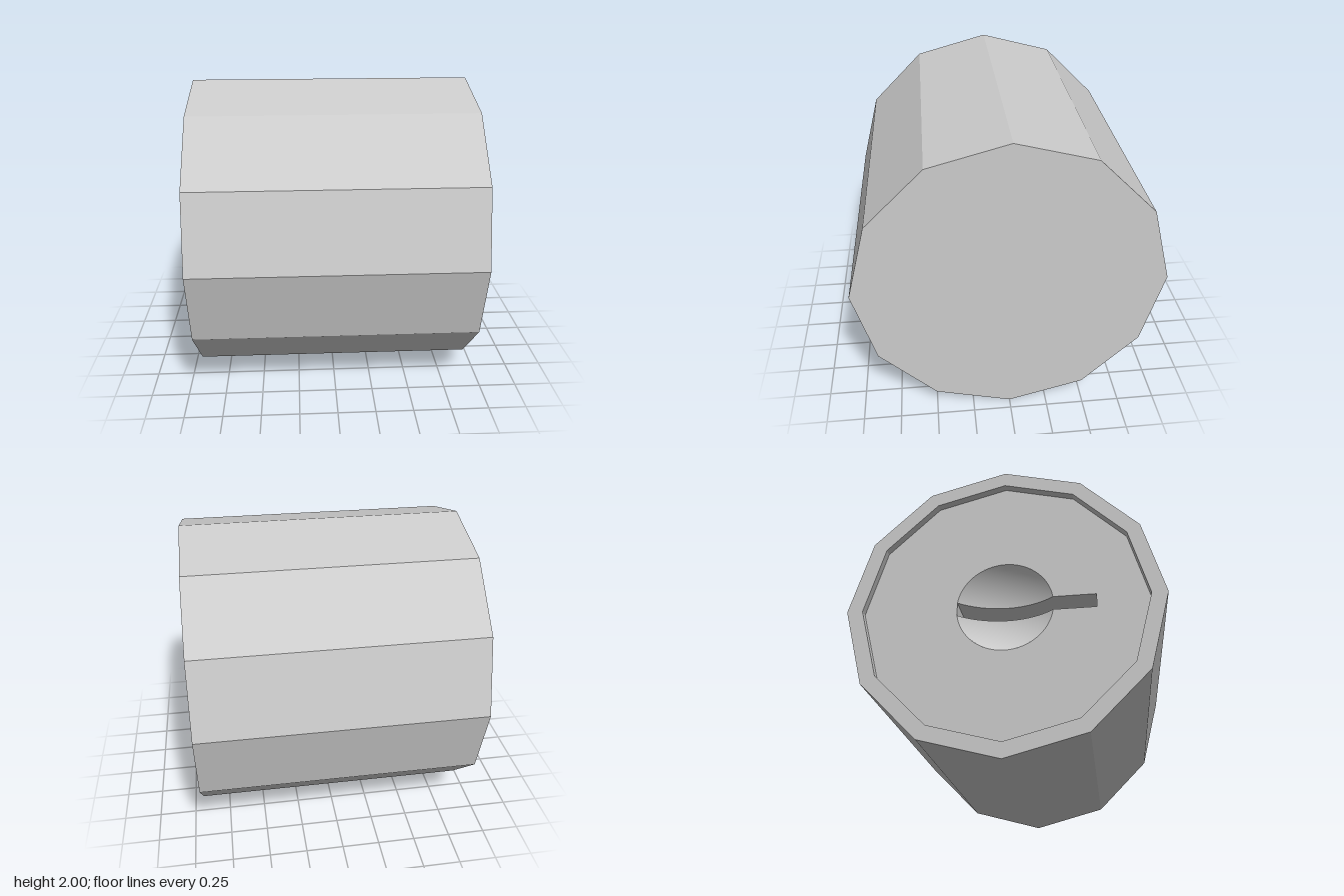
import * as THREE from 'three';

const HALF = 0.93;      // half length of the drum
const FLOOR = 0.88;     // level of the recessed end panel
const DISH_R = 0.305, DISH_D = 0.11;
const SLOT_H = 0.045, SLOT_END = 0.57, SLOT_D = 0.28;
const SPHERE = (DISH_R ** 2 + DISH_D ** 2) / (2 * DISH_D);
const EDGE = Math.sqrt(DISH_R ** 2 - SLOT_H ** 2);   // where the slot meets the dish rim
const STEPS = 32;

const dishDepth = (x, y) => Math.sqrt(SPHERE ** 2 - x * x - y * y) - (SPHERE - DISH_D);

function createMesh(name, geometry, options = {}) {
  const material = new THREE.MeshStandardMaterial({ color: 0xcccccc, ...options });
  const mesh = new THREE.Mesh(geometry, material);
  mesh.name = name;
  return mesh;
}

// Twelve-sided drum with a raised rim at the open end
function drum() {
  const profile = [[0, -HALF], [1, -HALF], [1, HALF], [0.9, HALF], [0.9, FLOOR]]
    .map(([r, y]) => new THREE.Vector2(r, y));
  const geometry = new THREE.LatheGeometry(profile, 12).rotateX(Math.PI / 2).toNonIndexed();
  geometry.computeVertexNormals();
  return createMesh('drum', geometry, { flatShading: true });
}

// Recessed panel with a keyhole-shaped opening
function endPanel() {
  const outline = [], hole = [];
  for (let i = 0; i < 12; i++) {
    const a = i * Math.PI / 6;
    outline.push(new THREE.Vector2(0.9 * Math.cos(a), 0.9 * Math.sin(a)));
  }
  const start = Math.asin(SLOT_H / DISH_R);
  for (const side of [0, Math.PI]) {
    for (let i = 0; i <= STEPS; i++) {
      const a = side + start + (Math.PI - 2 * start) * i / STEPS;
      hole.push(new THREE.Vector2(DISH_R * Math.cos(a), DISH_R * Math.sin(a)));
    }
  }
  hole.push(new THREE.Vector2(SLOT_END, -SLOT_H), new THREE.Vector2(SLOT_END, SLOT_H));
  const shape = new THREE.Shape(outline);
  shape.holes.push(new THREE.Path(hole));
  const mesh = createMesh('endPanel', new THREE.ShapeGeometry(shape));
  mesh.position.z = FLOOR;
  return mesh;
}

// Half of the shallow spherical dish, on one side of the slot
function dishHalf(side) {
  const rows = 12;
  const geometry = new THREE.PlaneGeometry(1, 1, STEPS, rows);
  const pos = geometry.attributes.position, normal = geometry.attributes.normal;
  for (let i = 0; i < pos.count; i++) {
    const x = -EDGE * Math.cos((pos.getX(i) + 0.5) * Math.PI);
    const t = pos.getY(i) + 0.5;
    const top = Math.sqrt(DISH_R ** 2 - x * x);
    const y = side * (SLOT_H + (top - SLOT_H) * t);
    const depth = dishDepth(x, y);
    pos.setXYZ(i, x, y, -depth);
    normal.setXYZ(i, -x / SPHERE, -y / SPHERE, (depth + SPHERE - DISH_D) / SPHERE);
  }
  // Mirroring flips the corner order, so swap it back
  if (side < 0) geometry.index.array.reverse();
  const mesh = createMesh(side > 0 ? 'upperDish' : 'lowerDish', geometry);
  mesh.position.z = FLOOR;
  return mesh;
}

// Narrow slot cut through the dish and out to one side
function slot() {
  const group = new THREE.Group();
  group.name = 'slot';
  const open = { side: THREE.DoubleSide };
  const points = [new THREE.Vector2(-EDGE, -SLOT_D), new THREE.Vector2(SLOT_END, -SLOT_D),
    new THREE.Vector2(SLOT_END, 0)];
  for (let i = 0; i <= STEPS; i++) {
    const x = EDGE * Math.cos(i / STEPS * Math.PI);
    points.push(new THREE.Vector2(x, -dishDepth(x, SLOT_H)));
  }
  for (const side of [-1, 1]) {
    const wall = new THREE.ShapeGeometry(new THREE.Shape(points)).rotateX(Math.PI / 2);
    wall.scale(1, 1, -1);             // shape height becomes depth into the drum
    const pos = wall.attributes.position;
    for (let i = 0; i < pos.count; i++) pos.setZ(i, -Math.abs(pos.getZ(i)));
    wall.translate(0, side * SLOT_H, 0);
    wall.computeVertexNormals();
    group.add(createMesh('slotWall', wall, open));
  }
  for (const x of [-EDGE, SLOT_END]) {
    const end = new THREE.PlaneGeometry(SLOT_D, 2 * SLOT_H).rotateY(Math.PI / 2);
    group.add(createMesh('slotEnd', end.translate(x, 0, -SLOT_D / 2), open));
  }
  const base = new THREE.PlaneGeometry(SLOT_END + EDGE, 2 * SLOT_H);
  group.add(createMesh('slotBase', base.translate((SLOT_END - EDGE) / 2, 0, -SLOT_D), open));
  group.position.z = FLOOR;
  return group;
}

export function createModel() {
  const model = new THREE.Group();
  model.name = 'slottedDrum';
  const body = new THREE.Group();
  body.name = 'body';
  body.add(drum(), endPanel(), dishHalf(1), dishHalf(-1), slot());
  // Lay the drum on its side with the recessed end towards -x
  body.rotation.y = -Math.PI / 2;
  body.position.y = 1;
  model.add(body);
  return model;
}
